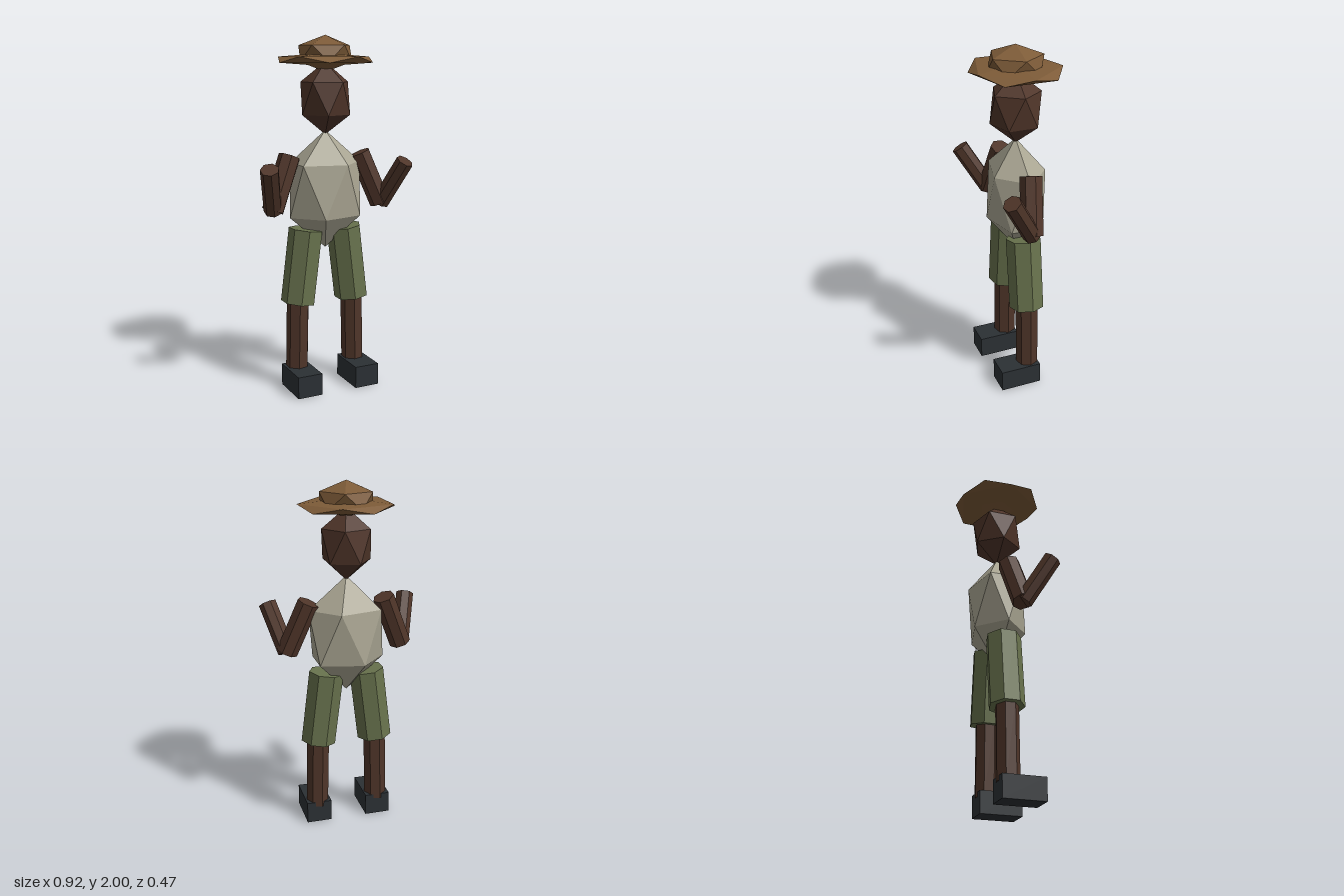
import * as THREE from 'three';
import { ConvexGeometry } from 'three/addons/geometries/ConvexGeometry.js';

const mat = (color) => new THREE.MeshStandardMaterial({ color, flatShading: true });

export function createModel() {
  const model = new THREE.Group();
  model.name = 'farmer';
  const skin = mat(0x4f3529), straw = mat(0x7d5b38), shirt = mat(0xaaa693);
  const cloth = mat(0x68724d), leather = mat(0x2b3034);

  const add = (name, geometry, material) => {
    const mesh = new THREE.Mesh(geometry, material);
    mesh.name = name;
    model.add(mesh);
    return mesh;
  };

  // Stretched icosahedron with its poles on y; ringX and ringZ are its ring radii
  const gem = (name, y, halfHeight, ringX, ringZ, material) => {
    const points = [new THREE.Vector3(0, halfHeight, 0), new THREE.Vector3(0, -halfHeight, 0)];
    for (let i = 0; i < 10; i++) {
      const a = (i * Math.PI) / 5;
      const h = halfHeight * 0.447 * (i % 2 ? -1 : 1);
      points.push(new THREE.Vector3(ringX * Math.cos(a), h, ringZ * Math.sin(a)));
    }
    add(name, new ConvexGeometry(points), material).position.y = y;
  };

  // Seven-sided limb from one joint to another
  const limb = (name, from, to, radius, material) => {
    const a = new THREE.Vector3(...from), b = new THREE.Vector3(...to);
    const axis = b.clone().sub(a);
    const geometry = new THREE.CylinderGeometry(radius, radius, axis.length(), 7, 1, false, Math.PI / 2);
    const mesh = add(name, geometry, material);
    mesh.position.copy(a).add(b).multiplyScalar(0.5);
    mesh.quaternion.setFromUnitVectors(new THREE.Vector3(0, 1, 0), axis.normalize());
  };

  // Body, head and hat
  gem('torso', 1.147, 0.335, 0.217, 0.158, shirt);
  gem('head', 1.657, 0.2, 0.14, 0.14, skin);
  gem('hatBrim', 1.867, 0.036, 0.272, 0.247, straw);
  gem('hatCrown', 1.9, 0.1, 0.15, 0.151, straw);

  // Arms and legs on both sides
  for (const [side, s] of [['left', 1], ['right', -1]]) {
    const elbow = [s * 0.335, 1.055, 0.04];
    limb(side + 'UpperArm', elbow, [s * 0.217, 1.345, 0], 0.062, skin);
    limb(side + 'Forearm', elbow, [s * 0.41, 1.305, 0.185], 0.051, skin);
    limb(side + 'Trouser', [s * 0.17, 0.506, 0], [s * 0.118, 0.928, 0], 0.1, cloth);
    limb(side + 'Shin', [s * 0.18, 0.1, 0], [s * 0.171, 0.53, 0], 0.065, skin);
    const shoe = add(side + 'Shoe', new THREE.BoxGeometry(0.146, 0.126, 0.24), leather);
    shoe.position.set(s * 0.18, 0.063, 0.065);
  }
  return model;
}
